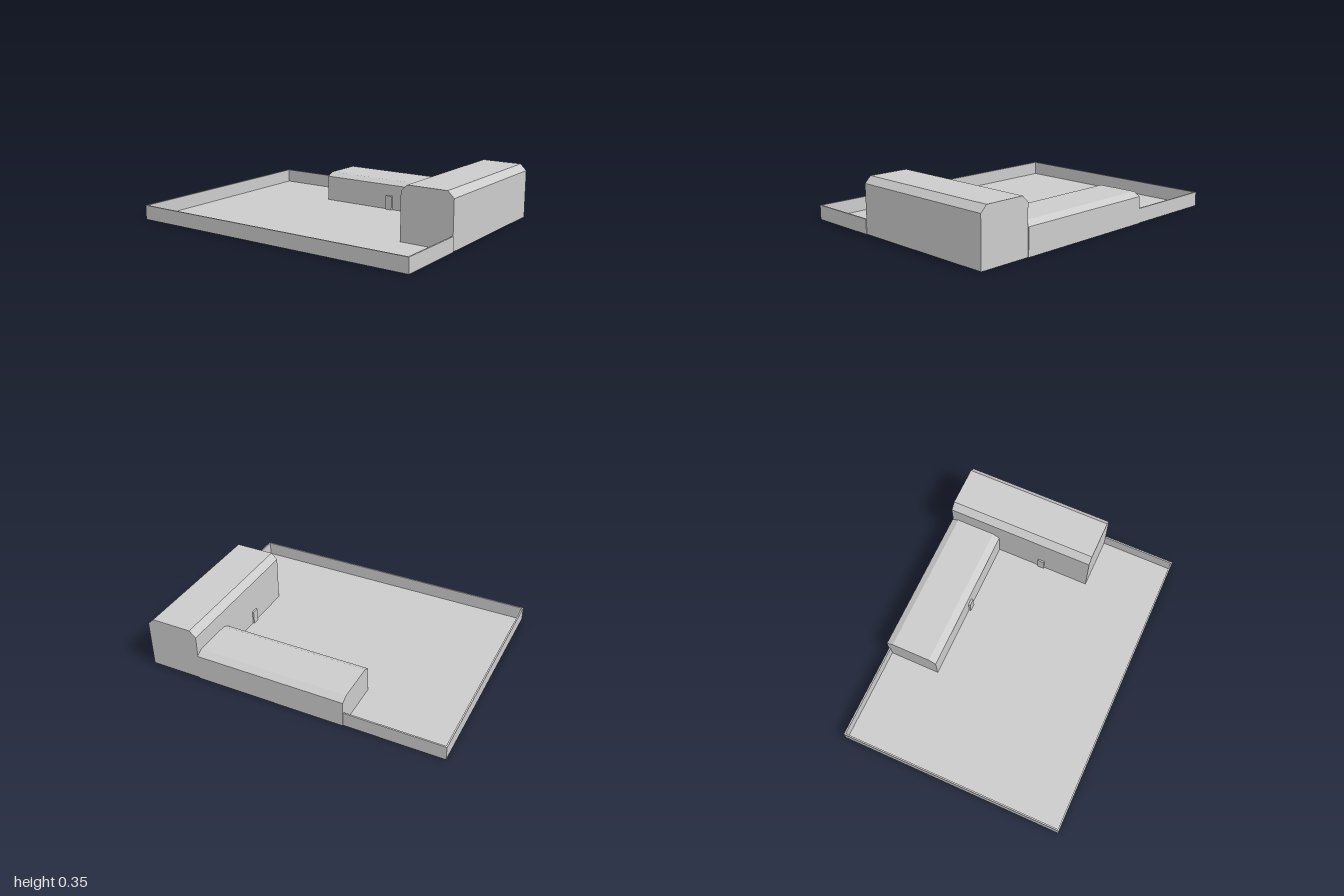
import * as THREE from 'three';

const material = new THREE.MeshStandardMaterial({ color: 0xcccccc, flatShading: true });

function add(parent, name, geometry) {
  const mesh = new THREE.Mesh(geometry, material);
  mesh.name = name;
  parent.add(mesh);
  return mesh;
}

// Box given by its minimum and maximum corners
function block(parent, name, [x0, y0, z0], [x1, y1, z1]) {
  const mesh = add(parent, name, new THREE.BoxGeometry(x1 - x0, y1 - y0, z1 - z0));
  mesh.position.set((x0 + x1) / 2, (y0 + y1) / 2, (z0 + z1) / 2);
}

// Long hall along local z, with both upper edges bevelled
function hall(parent, name, width, height, length, bevelX, bevelY) {
  const w = width / 2;
  const shape = new THREE.Shape([
    [-w, 0], [w, 0], [w, height - bevelY], [w - bevelX, height],
    [-w + bevelX, height], [-w, height - bevelY],
  ].map(([x, y]) => new THREE.Vector2(x, y)));
  const geometry = new THREE.ExtrudeGeometry(shape, { depth: length, bevelEnabled: false });
  geometry.translate(0, 0, -length / 2);
  return add(parent, name, geometry);
}

export function createModel() {
  const model = new THREE.Group();
  model.name = 'walledYard';

  block(model, 'yardFloor', [-0.75, 0, -1], [0.75, 0.004, 0.996]);

  // Perimeter wall, interrupted where the buildings stand
  const walls = new THREE.Group();
  walls.name = 'perimeterWall';
  model.add(walls);
  const t = 0.01, h = 0.095;
  block(walls, 'backWall', [-0.75, 0, -1], [0.75, h, -1 + t]);
  block(walls, 'rightWall', [-0.75, 0, -1 + t], [-0.75 + t, h, 1 - t]);
  block(walls, 'leftWall', [0.75 - t, 0, -1 + t], [0.75, h, -0.355]);
  block(walls, 'frontWall', [-0.75, 0, 1 - t], [-0.255, h, 1]);

  // Tall building across the front
  const tall = hall(model, 'tallBuilding', 0.351, 0.355, 1.005, 0.042, 0.041);
  tall.rotation.y = Math.PI / 2;
  tall.position.set(0.2475, 0, 0.8205);

  // Low building along the left side
  const low = hall(model, 'lowBuilding', 0.355, 0.2, 1, 0.046, 0.025);
  low.position.set(0.5775, 0, 0.145);

  // Doors facing the yard
  block(model, 'tallBuildingDoor', [0.058, 0, 0.635], [0.105, 0.095, 0.65]);
  block(model, 'lowBuildingDoor', [0.386, 0, 0.138], [0.405, 0.1, 0.185]);

  return model;
}
